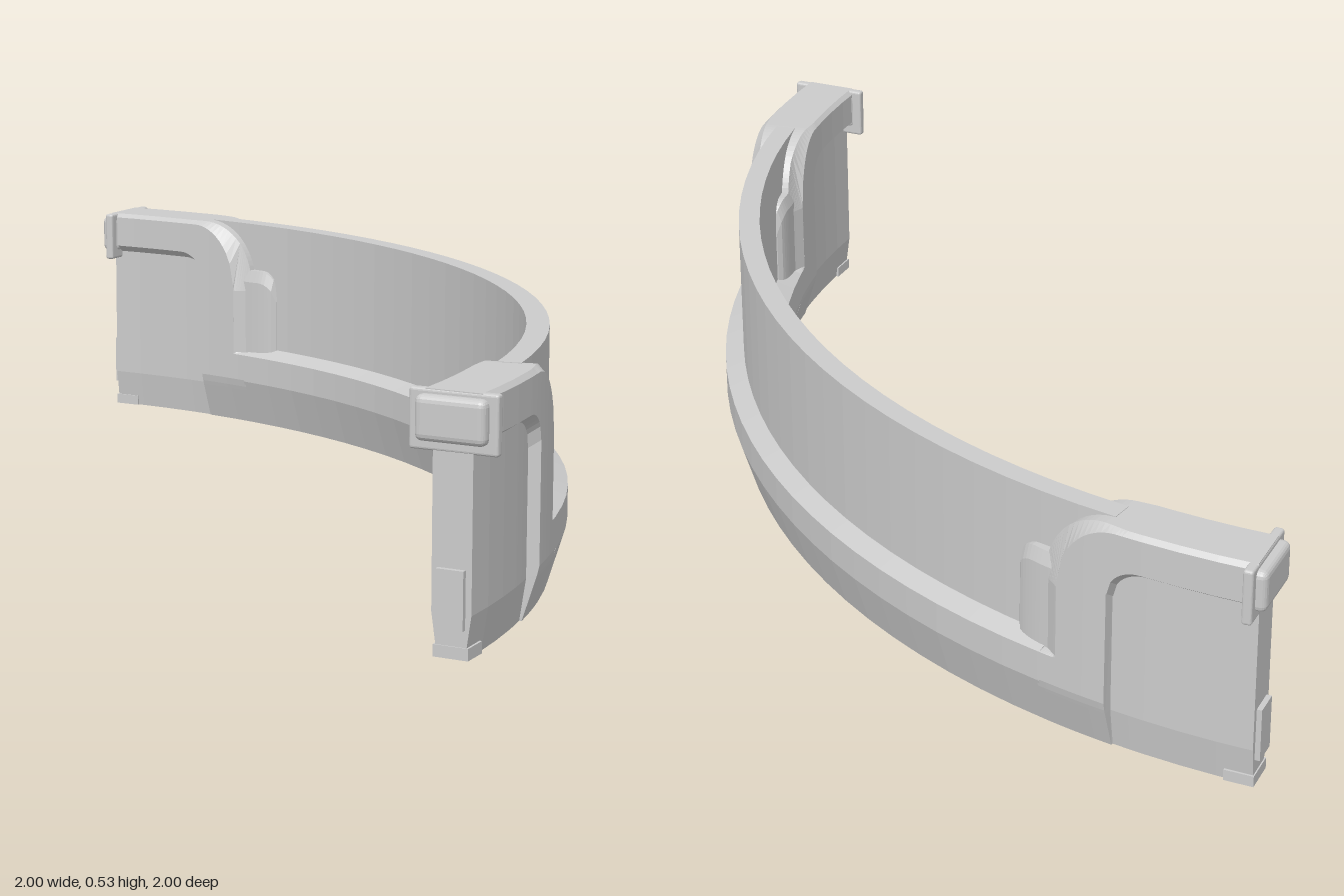
import * as THREE from 'three';
import { RoundedBoxGeometry } from 'three/addons/geometries/RoundedBoxGeometry.js';

const C = 0.97;      // arc centre is at x = -C, z = C
const MID = 1.875;   // radius of the arc's centre line
const mat = new THREE.MeshStandardMaterial({ color: 0xcccccc, flatShading: true });

const range = (a, b, n) => Array.from({ length: n + 1 }, (_, i) => a + (b - a) * i / n);

// Sweeps a section, given as half of a symmetric outline [halfWidth, y], along the quarter arc
function sweep(angles, half) {
  const pos = [], idx = [];
  let n = 0;
  for (const t of angles) {
    const h = half(t);
    const loop = [...h, ...h.map(([w, y]) => [-w, y]).reverse()];
    n = loop.length;
    const a = THREE.MathUtils.degToRad(t);
    for (const [w, y] of loop) {
      pos.push(-C + (MID + w) * Math.sin(a), y, C - (MID + w) * Math.cos(a));
    }
  }
  const last = (angles.length - 1) * n;
  for (let i = 0; i < last; i += n) {
    for (let j = 0; j < n; j++) {
      const k = (j + 1) % n;
      idx.push(i + j, i + k, i + n + j, i + k, i + n + k, i + n + j);
    }
  }
  for (let j = 0; j < n / 2 - 1; j++) {
    const q = [j, j + 1, n - 2 - j, n - 1 - j];
    idx.push(q[0], q[2], q[1], q[0], q[3], q[2]);
    idx.push(...[q[0], q[1], q[2], q[0], q[2], q[3]].map(v => v + last));
  }
  const geo = new THREE.BufferGeometry();
  geo.setAttribute('position', new THREE.Float32BufferAttribute(pos, 3));
  geo.setIndex(idx);
  geo.computeVertexNormals();
  return geo;
}

// Height that follows a quarter ellipse down from top to bottom between two angles
function shoulder(t, t0, t1, top, bottom) {
  const u = THREE.MathUtils.clamp((t - t0) / (t1 - t0), 0, 1);
  return bottom + (top - bottom) * Math.sqrt(1 - u * u);
}

// End post: recessed panel under a rounded frame, then a chamfered rim falling to the curb
function postSection(t) {
  const inPanel = t < 9.3;
  const p = inPanel ? shoulder(t, 7, 9.25, 0.425, 0.36) : 0.1;
  const h = t > 14.15 ? 0.2 : shoulder(t, 9.3, 14.15, 0.53, 0.36);
  const e = shoulder(t, 8.6, 12.8, 0.52, 0.355);
  const rim = t > 12.8;
  const k = rim ? 0.185 : e;
  const w = rim ? 0.07 - 0.025 * (t - 12.8) / 1.35 : 0.07;
  return [
    [inPanel ? 0.03 : 0.035, 0],
    [inPanel ? 0.043 : 0.063, 0.09],
    [inPanel ? 0.043 : 0.066, p],
    [0.07, p + 0.018],
    [0.07, k],
    [w, rim ? k + 0.005 : e],
    [w, e],
    [rim ? 0.042 : 0.06 - 0.018 * THREE.MathUtils.clamp((t - 8) / 4.8, 0, 1), h],
  ];
}

// Small rounded stop beside each post
function stopSection(t) {
  const u = (t - 13.5) / 3;
  const y = shoulder(t, 15, 16.5, 0.41, 0.36);
  const w = 0.028 + 0.025 * Math.sqrt(Math.max(0, 1 - u * u));
  return [[w, 0.19], [w, y - 0.03], [w - 0.01, y]];
}

export function createModel() {
  const group = new THREE.Group();
  const add = (name, geo, parent = group) => {
    const m = new THREE.Mesh(geo, mat);
    m.name = name;
    parent.add(m);
    return m;
  };

  // Curb along the foot of the arc, with the thin wall standing on it
  add('curb', sweep(range(14, 76, 22), () => [
    [0.035, 0], [0.07, 0.115], [0.07, 0.185], [0.026, 0.203],
  ]));
  add('wall', sweep(range(9.5, 80.5, 26), () => [[0.025, 0.15], [0.025, 0.531]]));

  // Posts and stops, mirrored to both ends
  const postAngles = [
    ...range(-0.2, 7, 3), ...range(7.3, 9.25, 8), 9.29, 9.31,
    ...range(9.7, 12.79, 8), 12.81, ...range(13, 14.15, 7),
  ];
  const stopAngles = range(13.5, 16.5, 10);
  const mirrored = (angles, f) => sweep(angles.map(t => 90 - t).reverse(), t => f(90 - t));
  add('rightPost', sweep(postAngles, postSection));
  add('leftPost', mirrored(postAngles, (t) => postSection(t)));
  add('rightStop', sweep(stopAngles, stopSection));
  add('leftStop', mirrored(stopAngles, stopSection));

  // Connectors on the end faces; local -x points out of the end
  for (const left of [false, true]) {
    const end = new THREE.Group();
    end.name = left ? 'leftConnector' : 'rightConnector';
    end.position.set(left ? MID - C : -C, 0, left ? C : C - MID);
    if (left) end.rotation.y = Math.PI / 2;
    const box = (name, geo, x, y) => add(name, geo, end).position.set(x, y, 0);
    box('flange', new RoundedBoxGeometry(0.022, 0.122, 0.19, 2, 0.006), 0.003, 0.469);
    box('plug', new RoundedBoxGeometry(0.05, 0.092, 0.152, 2, 0.015), -0.005, 0.474);
    box('tongue', new THREE.BoxGeometry(0.03, 0.12, 0.06), -0.003, 0.12);
    box('foot', new THREE.BoxGeometry(0.065, 0.025, 0.076), 0.023, 0.0125);
    group.add(end);
  }
  return group;
}
